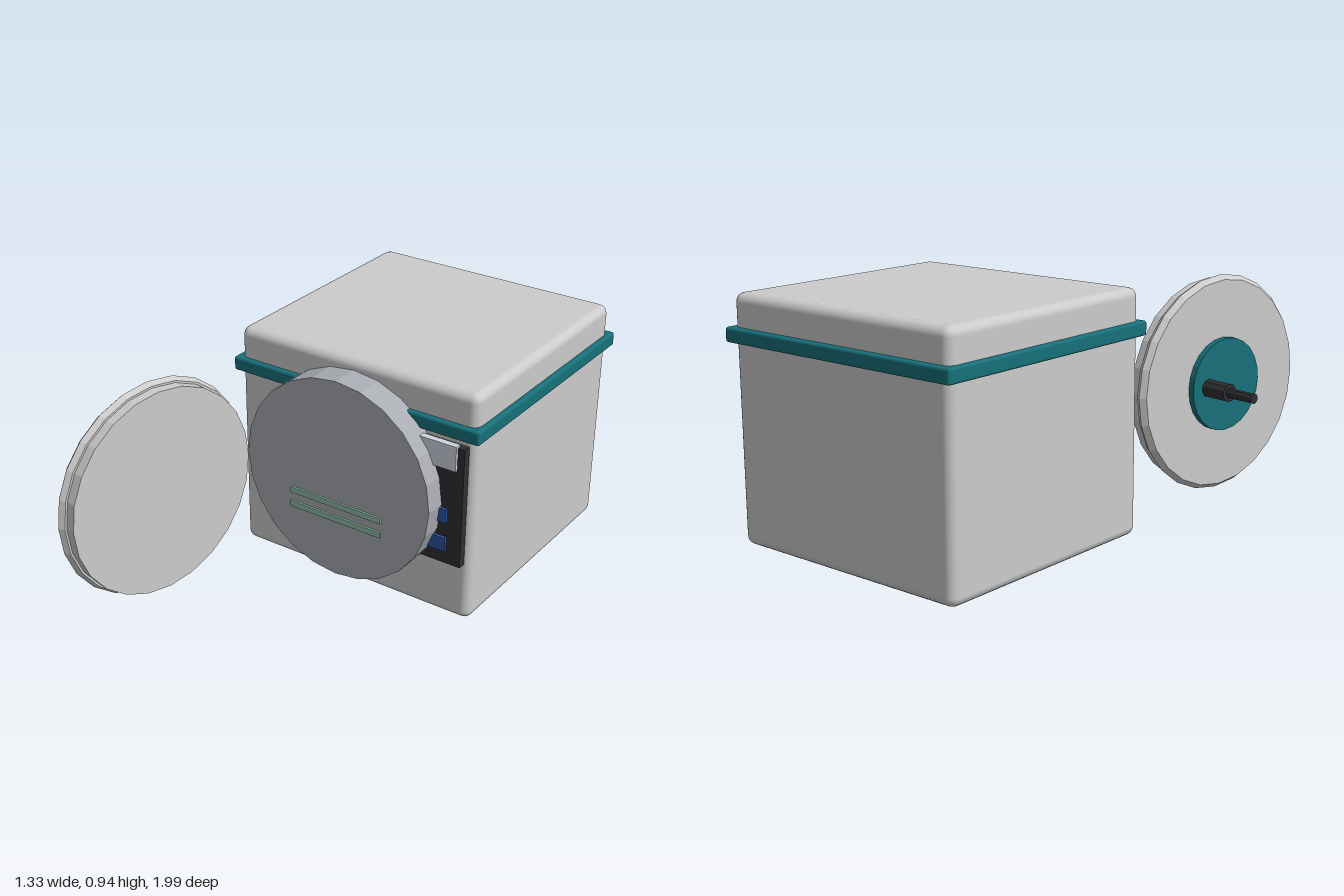
import * as THREE from 'three';
import { RoundedBoxGeometry } from 'three/addons/geometries/RoundedBoxGeometry.js';

const mat = (color, flatShading = false) => new THREE.MeshStandardMaterial({ color, flatShading });
const GREY = 0xcccccc, TEAL = 0x17707a, DARK = 0x2f2e33;

export function createModel() {
  const model = new THREE.Group();

  const add = (parent, name, geometry, material, x = 0, y = 0, z = 0) => {
    const mesh = new THREE.Mesh(geometry, material);
    mesh.name = name;
    mesh.position.set(x, y, z);
    parent.add(mesh);
    return mesh;
  };
  // Box given by its limits on each axis
  const box = (name, [x0, x1], [y0, y1], [z0, z1], color) =>
    add(model, name, new THREE.BoxGeometry(x1 - x0, y1 - y0, z1 - z0), mat(color),
      (x0 + x1) / 2, (y0 + y1) / 2, (z0 + z1) / 2);
  // Disc or rod lying along z, from z0 to z1
  const rod = (parent, name, r, z0, z1, sides, color, x = 0, y = 0) =>
    add(parent, name, new THREE.CylinderGeometry(r, r, z1 - z0, sides).rotateX(Math.PI / 2),
      mat(color, true), x, y, (z0 + z1) / 2);

  // Cabinet with rounded edges and a trim band around it
  add(model, 'cabinet', new RoundedBoxGeometry(1.05, 0.94, 1.01, 2, 0.035), mat(GREY), 0.115, 0.47, -0.47);
  add(model, 'trimBand', new RoundedBoxGeometry(1.09, 0.056, 1.055, 2, 0.01), mat(TEAL), 0.115, 0.788, -0.472);

  // Round opening drum with two slots on its face
  rod(model, 'drum', 0.41, 0, 0.15, 24, 0xa9acb2, 0.115, 0.49);
  for (const y of [0.328, 0.389]) {
    box('slot', [-0.09, 0.32], [y - 0.012, y + 0.012], [0.14, 0.158], 0x8fbfa8);
  }

  // Control panel
  box('controlPanel', [0.36, 0.612], [0.246, 0.738], [0.02, 0.065], DARK);
  box('display', [0.39, 0.584], [0.646, 0.746], [0.05, 0.077], 0xd0d4e0);
  for (const y of [0.33, 0.45]) {
    box('button', [0.42, 0.552], [y - 0.029, y + 0.029], [0.05, 0.077], 0x2a559f);
  }

  // Open door: local +z is its inner face
  const door = new THREE.Group();
  door.name = 'door';
  door.position.set(-0.345, 0.49, 0.58);
  door.rotation.y = THREE.MathUtils.degToRad(80);
  model.add(door);

  const profile = [[0, -0.085], [0.412, -0.085], [0.43, -0.063], [0.418, -0.04], [0.41, -0.04], [0.41, 0], [0, 0]]
    .map(([r, h]) => new THREE.Vector2(r, h));
  add(door, 'doorDisc', new THREE.LatheGeometry(profile, 24).rotateX(Math.PI / 2), mat(GREY, true));
  rod(door, 'doorPlate', 0.185, -0.11, -0.08, 24, TEAL);
  rod(door, 'handleCollar', 0.036, -0.22, -0.085, 10, DARK, 0.1);
  rod(door, 'handleStem', 0.02, -0.345, -0.21, 10, DARK, 0.1);

  return model;
}
